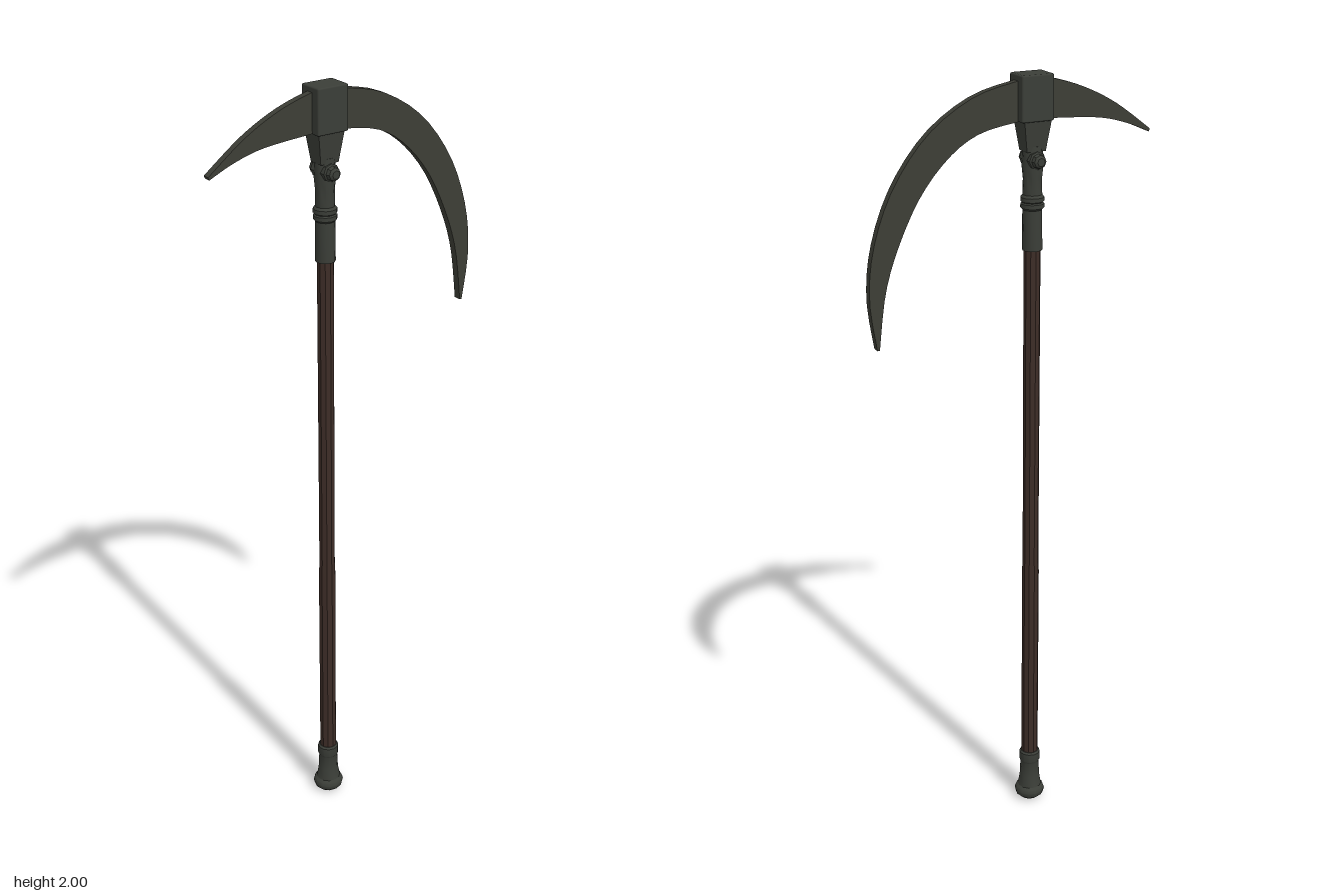
import * as THREE from 'three';
import { toCreasedNormals } from 'three/addons/utils/BufferGeometryUtils.js';
import { RoundedBoxGeometry } from 'three/addons/geometries/RoundedBoxGeometry.js';

const AXIS_X = -0.058; // the pole stands off-centre because the blade is longer on one side

function material(name, color, side = THREE.FrontSide) {
  const m = new THREE.MeshStandardMaterial({ color, side });
  m.name = name;
  return m;
}

function addMesh(parent, name, geometry, mat, x = 0, y = 0, z = 0) {
  const mesh = new THREE.Mesh(geometry, mat);
  mesh.name = name;
  mesh.position.set(x, y, z);
  parent.add(mesh);
  return mesh;
}

// Turned part from [radius, height] pairs, bottom to top
function turned(profile, sides = 12) {
  const points = profile.map(([r, y]) => new THREE.Vector2(r, y));
  return toCreasedNormals(new THREE.LatheGeometry(points, sides), 0.6);
}

// Curved plate between an upper edge and a lower edge, both running root to tip
function blade(upper, lower, thickness) {
  const sample = (pts) => new THREE.SplineCurve(pts.map(([x, y]) => new THREE.Vector2(x, y))).getPoints(24);
  const outline = [...sample(upper), ...sample(lower).reverse()];
  const geometry = new THREE.ExtrudeGeometry(new THREE.Shape(outline), { depth: thickness, bevelEnabled: false });
  geometry.translate(0, 0, -thickness / 2);
  return toCreasedNormals(geometry, 0.6);
}

export function createModel() {
  const wood = material('dark brown wood', 0x3d2d27);
  const iron = material('dark iron fittings', 0x3b3e38);
  const steel = material('dark blade steel', 0x3d3e36);
  const model = new THREE.Group();
  model.name = 'scythe';

  const pole = new THREE.Group();
  pole.name = 'pole';
  pole.position.x = AXIS_X;
  model.add(pole);

  // Wooden shaft, slightly thinner towards the top
  addMesh(pole, 'shaft', turned([[0.0225, 0.1], [0.0225, 0.7], [0.021, 0.74], [0.021, 1.62]], 10), wood);

  // Flared foot with a rim and a collar
  addMesh(pole, 'footCap', turned([
    [0, 0], [0.026, 0.002], [0.038, 0.013], [0.041, 0.025], [0.038, 0.034], [0.032, 0.04],
    [0.027, 0.07], [0.025, 0.115], [0.028, 0.12], [0.028, 0.145], [0.024, 0.15], [0.02, 0.15],
  ]), iron);

  // Socket holding the shaft, with a double ring
  addMesh(pole, 'socket', turned([
    [0.02, 1.575], [0.025, 1.575], [0.024, 1.675], [0.029, 1.68], [0.029, 1.69], [0.026, 1.693],
    [0.029, 1.696], [0.029, 1.706], [0.024, 1.712], [0.023, 1.75], [0.026, 1.78], [0.024, 1.83], [0, 1.83],
  ]), iron);

  // Square neck widening into the head block
  const neck = new THREE.CylinderGeometry(0.036 * Math.SQRT2, 0.025 * Math.SQRT2, 0.075, 4);
  neck.rotateY(Math.PI / 4).scale(1, 1, 0.8);
  addMesh(pole, 'neck', toCreasedNormals(neck, 0.6), iron, 0, 1.855);

  // Rivet bosses on the front and back
  for (const side of [1, -1]) {
    const boss = turned([[0.022, 0], [0.022, 0.027], [0.018, 0.03], [0.016, 0.041], [0.01, 0.046], [0, 0.046]], 8);
    boss.rotateX(side * Math.PI / 2);
    addMesh(pole, side > 0 ? 'frontBoss' : 'backBoss', boss, iron, 0, 1.797);
  }

  // Head block
  addMesh(pole, 'headBlock', new RoundedBoxGeometry(0.085, 0.11, 0.066, 1, 0.004), iron, 0.002, 1.945);

  // Long hooked blade
  addMesh(model, 'longBlade', blade(
    [[-0.05, 1.988], [-0.013, 1.985], [0.103, 1.956], [0.219, 1.881], [0.309, 1.765], [0.361, 1.633], [0.376, 1.507], [0.36, 1.381]],
    [[-0.05, 1.892], [-0.013, 1.89], [0.087, 1.871], [0.166, 1.823], [0.24, 1.739], [0.298, 1.628], [0.335, 1.517], [0.354, 1.381]],
    0.02), steel);

  // Short rear spike
  addMesh(model, 'rearSpike', blade(
    [[-0.06, 1.99], [-0.098, 1.987], [-0.187, 1.96], [-0.28, 1.913], [-0.378, 1.842]],
    [[-0.06, 1.893], [-0.098, 1.892], [-0.23, 1.882], [-0.31, 1.862], [-0.375, 1.835]],
    0.018), steel);

  return model;
}
